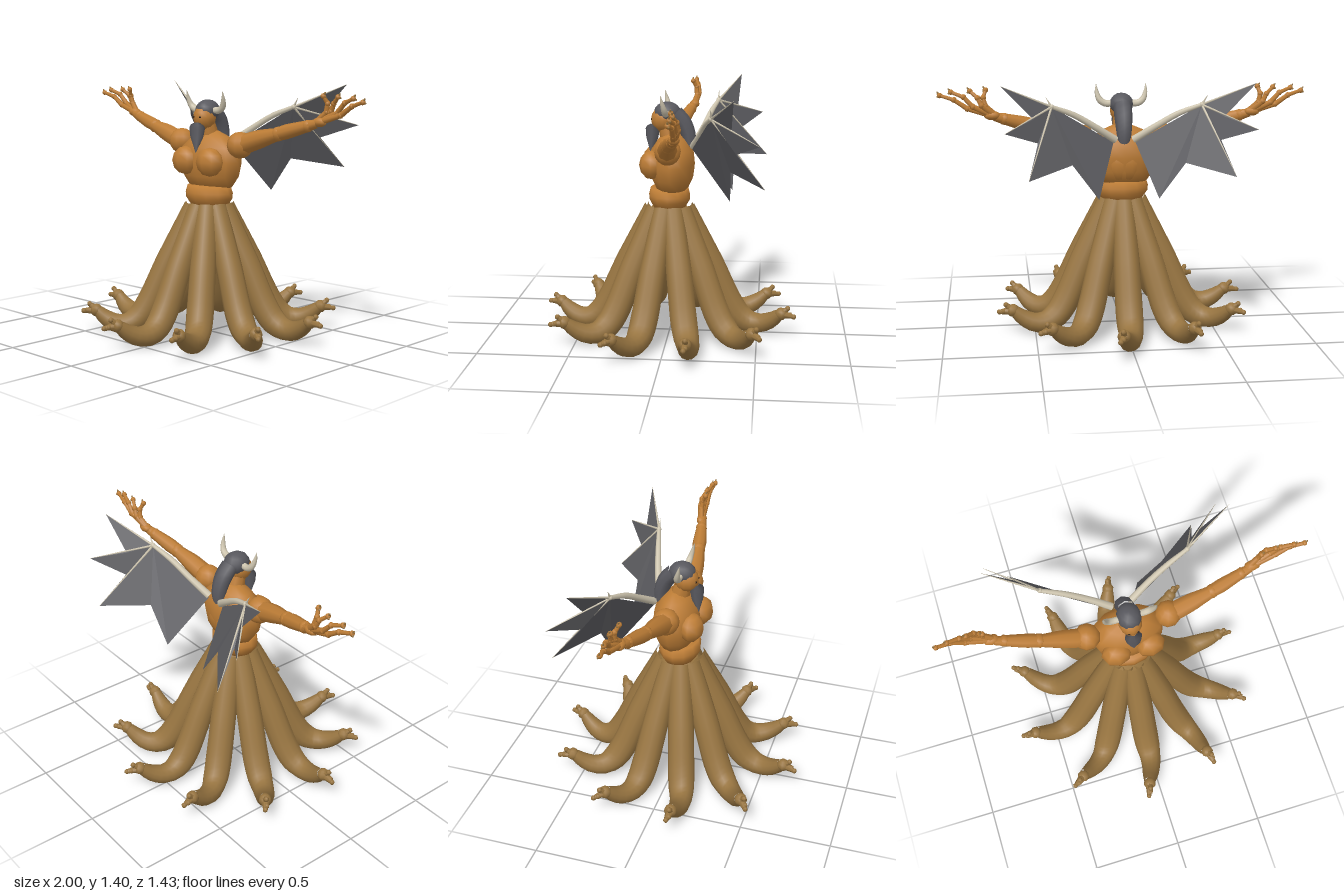
import * as THREE from 'three';

const mat = (name, color) => {
  const m = new THREE.MeshStandardMaterial({ color });
  m.name = name;
  return m;
};
const V = (p) => new THREE.Vector3(...p);

// Tube along a smooth path whose radius follows the listed radii
function sweep(points, radii, sides = 8, rings = 12) {
  const curve = new THREE.CatmullRomCurve3(points.map(V), false, 'centripetal');
  const geo = new THREE.TubeGeometry(curve, rings, 1, sides, false);
  const pos = geo.attributes.position;
  const v = new THREE.Vector3();
  for (let i = 0; i <= rings; i++) {
    const c = curve.getPointAt(i / rings);
    const t = curve.getUtoTmapping(i / rings) * (radii.length - 1);
    const k = Math.min(Math.floor(t), radii.length - 2);
    const r = THREE.MathUtils.lerp(radii[k], radii[k + 1], t - k);
    for (let j = 0; j <= sides; j++) {
      const n = i * (sides + 1) + j;
      v.fromBufferAttribute(pos, n).sub(c).multiplyScalar(r).add(c);
      pos.setXYZ(n, v.x, v.y, v.z);
    }
  }
  return geo;
}

// Straight tapered limb between two points
function taper(a, b, ra, rb, sides = 8) {
  const A = V(a), B = V(b), d = B.clone().sub(A);
  const geo = new THREE.CylinderGeometry(rb, ra, d.length(), sides);
  geo.applyQuaternion(new THREE.Quaternion().setFromUnitVectors(new THREE.Vector3(0, 1, 0), d.normalize()));
  const m = A.add(B).multiplyScalar(0.5);
  return geo.translate(m.x, m.y, m.z);
}

const ball = (c, r, w = 10, h = 8) => {
  const s = Array.isArray(r) ? r : [r, r, r];
  return new THREE.SphereGeometry(1, w, h).scale(...s).translate(...c);
};

const lathe = (profile, depth, z) =>
  new THREE.LatheGeometry(profile.map((p) => new THREE.Vector2(...p)), 12).scale(1, 1, depth).translate(0, 0, z);

export function createModel() {
  const root = new THREE.Group();
  root.name = 'wingedTentacleDemon';
  const skin = mat('orangeSkin', 0xbd7d36);
  const hide = mat('brownHide', 0x987541);
  const dark = mat('darkHair', 0x58585e);
  const bone = mat('paleBone', 0xcfc6b0);
  const web = mat('greyMembrane', 0x5c5c60);
  web.side = THREE.DoubleSide;
  const eye = mat('darkEye', 0x2c1c10);

  const add = (parent, name, geo, material) => {
    const m = new THREE.Mesh(geo, material);
    m.name = name;
    parent.add(m);
    return m;
  };
  const group = (name, parent = root) => {
    const g = new THREE.Group();
    g.name = name;
    parent.add(g);
    return g;
  };

  // Ten tentacles fanned around the waist, each with a clawed tip
  const tentacleGeo = sweep(
    [[0, 0.728, 0.083], [0, 0.42, 0.232], [0, 0.18, 0.345], [0, 0.105, 0.4],
      [-0.003, 0.07, 0.46], [-0.018, 0.07, 0.525], [-0.042, 0.1, 0.585], [-0.06, 0.135, 0.625]],
    [0.06, 0.072, 0.075, 0.072, 0.062, 0.054, 0.045, 0.032], 12, 26);
  const tip = [-0.062, 0.14, 0.635];
  const claws = [[-0.088, 0.133, 0.705], [-0.07, 0.175, 0.672], [-0.072, 0.138, 0.685]];
  for (let i = 0; i < 10; i++) {
    const t = group('tentacle');
    t.rotation.y = (i * Math.PI) / 5;
    add(t, 'tentacleLimb', tentacleGeo, hide);
    add(t, 'tentacleKnuckle', ball(tip, 0.036, 8, 6), hide);
    for (const c of claws) {
      add(t, 'tentacleClaw', taper(tip, c, 0.026, 0.012, 6), hide);
      add(t, 'clawTip', ball(c, 0.015, 6, 5), hide);
    }
  }
  add(root, 'hipDisc', new THREE.CylinderGeometry(0.1, 0.13, 0.04, 12).translate(0, 0.715, 0), hide);

  // Torso: belly, rib cage, chest and neck
  add(root, 'belly', lathe([[0, 0.73], [0.115, 0.733], [0.145, 0.775], [0.148, 0.805], [0.135, 0.845], [0, 0.86]], 0.78, 0), skin);
  add(root, 'ribCage', lathe([[0, 0.83], [0.14, 0.838], [0.185, 0.9], [0.203, 0.98], [0.19, 1.06], [0.12, 1.12], [0.05, 1.15], [0, 1.15]], 0.62, -0.015), skin);
  add(root, 'upperBack', ball([0, 0.95, -0.05], [0.15, 0.125, 0.09]), skin);
  add(root, 'neck', taper([0, 1.09, -0.01], [0, 1.2, 0.02], 0.058, 0.045), skin);

  // Head with cap of hair, back hair and beard
  add(root, 'head', ball([0, 1.225, 0.035], [0.062, 0.07, 0.068], 12, 8), skin);
  add(root, 'hairCap', ball([0, 1.262, 0.012], [0.066, 0.061, 0.075], 12, 8), dark);
  add(root, 'backHair', sweep([[0, 1.26, -0.03], [0, 1.21, -0.075], [0, 1.14, -0.105], [0, 1.08, -0.112], [0, 1.02, -0.105]],
    [0.045, 0.046, 0.04, 0.033, 0.002], 8, 10).scale(1.1, 1, 1), dark);
  add(root, 'beard', sweep([[0, 1.198, 0.09], [0, 1.178, 0.093], [0, 1.12, 0.097], [0, 1.03, 0.105]],
    [0.012, 0.041, 0.033, 0.001], 8, 12).scale(1.2, 1, 1), dark);

  // Mirrored parts: breasts, eyes, horns, arms, hands and wings
  for (const s of [1, -1]) {
    const side = s > 0 ? 'left' : 'right';
    const M = (p) => [s * p[0], p[1], p[2]];
    add(root, side + 'Breast', ball(M([0.093, 0.985, 0.09]), [0.084, 0.08, 0.07], 8, 6), skin);
    add(root, side + 'Eye', ball(M([0.025, 1.228, 0.096]), [0.008, 0.005, 0.004], 8, 6), eye);
    add(root, side + 'Horn', sweep([[0.05, 1.265, 0.015], [0.09, 1.265, 0.015], [0.12, 1.285, 0.018], [0.135, 1.325, 0.028], [0.138, 1.37, 0.038]].map(M),
      [0.018, 0.019, 0.018, 0.012, 0.001], 8, 12), bone);

    // Arm
    const arm = group(side + 'Arm');
    add(arm, 'shoulder', ball(M([0.225, 1.08, -0.01]), 0.073), skin);
    add(arm, 'upperArm', sweep([[0.2, 1.07, -0.008], [0.27, 1.092, -0.012], [0.36, 1.12, -0.022], [0.49, 1.155, -0.038]].map(M),
      [0.04, 0.055, 0.051, 0.032], 8, 10), skin);
    add(arm, 'elbow', ball(M([0.475, 1.152, -0.037]), 0.04, 8, 6), skin);
    add(arm, 'forearm', sweep([[0.45, 1.145, -0.033], [0.53, 1.168, -0.047], [0.62, 1.193, -0.065], [0.7, 1.215, -0.08]].map(M),
      [0.035, 0.04, 0.033, 0.023], 8, 10), skin);
    add(arm, 'wrist', ball(M([0.645, 1.2, -0.07]), 0.033, 8, 6), skin);
    add(arm, 'palm', ball(M([0.71, 1.222, -0.087]), [0.045, 0.025, 0.03], 8, 6), skin);

    // Long jointed fingers
    const fingers = [
      [[0.71, 1.222, -0.085], [0.84, 1.262, -0.095], [0.91, 1.31, -0.095], [0.985, 1.333, -0.083]],
      [[0.71, 1.225, -0.09], [0.81, 1.272, -0.105], [0.86, 1.325, -0.1], [0.925, 1.35, -0.085]],
      [[0.7, 1.225, -0.09], [0.765, 1.28, -0.112], [0.785, 1.32, -0.108], [0.825, 1.355, -0.09]],
      [[0.69, 1.22, -0.085], [0.745, 1.275, -0.1], [0.755, 1.32, -0.095], [0.742, 1.358, -0.075]],
    ];
    for (const f of fingers) {
      const p = f.map(M);
      for (let i = 0; i < 3; i++) {
        add(arm, 'fingerBone', taper(p[i], p[i + 1], 0.018 - i * 0.003, 0.014 - i * 0.002, 6), skin);
        add(arm, 'fingerJoint', ball(p[i + 1], 0.017 - i * 0.001, 6, 5), skin);
      }
      const e = f[3];
      add(arm, 'fingerClaw', taper(p[3], M([e[0] + 0.014, e[1] + 0.02, e[2]]), 0.01, 0.003, 5), hide);
      add(arm, 'fingerClaw', taper(p[3], M([e[0] + 0.015, e[1] - 0.008, e[2] - 0.008]), 0.01, 0.004, 5), hide);
    }

    // Wing: membrane fan from the wrist joint, with bones
    const wing = group(side + 'Wing');
    const joint = [0.4, 1.285, -0.25];
    const rim = [
      [0.665, 1.41, -0.375], [0.5, 1.235, -0.36], [0.65, 1.185, -0.505], [0.48, 1.115, -0.385],
      [0.535, 0.945, -0.535], [0.3, 0.99, -0.35], [0.16, 0.8, -0.345], [0.06, 1.07, -0.13],
    ];
    const tris = [];
    for (let i = 0; i < rim.length - 1; i++) tris.push(...M(joint), ...M(rim[i]), ...M(rim[i + 1]));
    const fan = new THREE.BufferGeometry();
    fan.setAttribute('position', new THREE.Float32BufferAttribute(tris, 3));
    fan.computeVertexNormals();
    add(wing, 'wingMembrane', fan, web);
    add(wing, 'wingArm', sweep([[0.05, 1.085, -0.135], [0.16, 1.16, -0.178], [0.28, 1.235, -0.215], joint].map(M),
      [0.021, 0.018, 0.016, 0.011], 8, 10), bone);
    add(wing, 'wingJoint', ball(M(joint), 0.014, 8, 6), bone);
    for (const i of [0, 2, 4]) add(wing, 'wingFinger', taper(M(joint), M(rim[i]), 0.007, 0.001, 6), bone);
    add(wing, 'wingThumb', taper(M(joint), M([0.43, 1.335, -0.25]), 0.008, 0.001, 6), bone);
  }
  return root;
}
